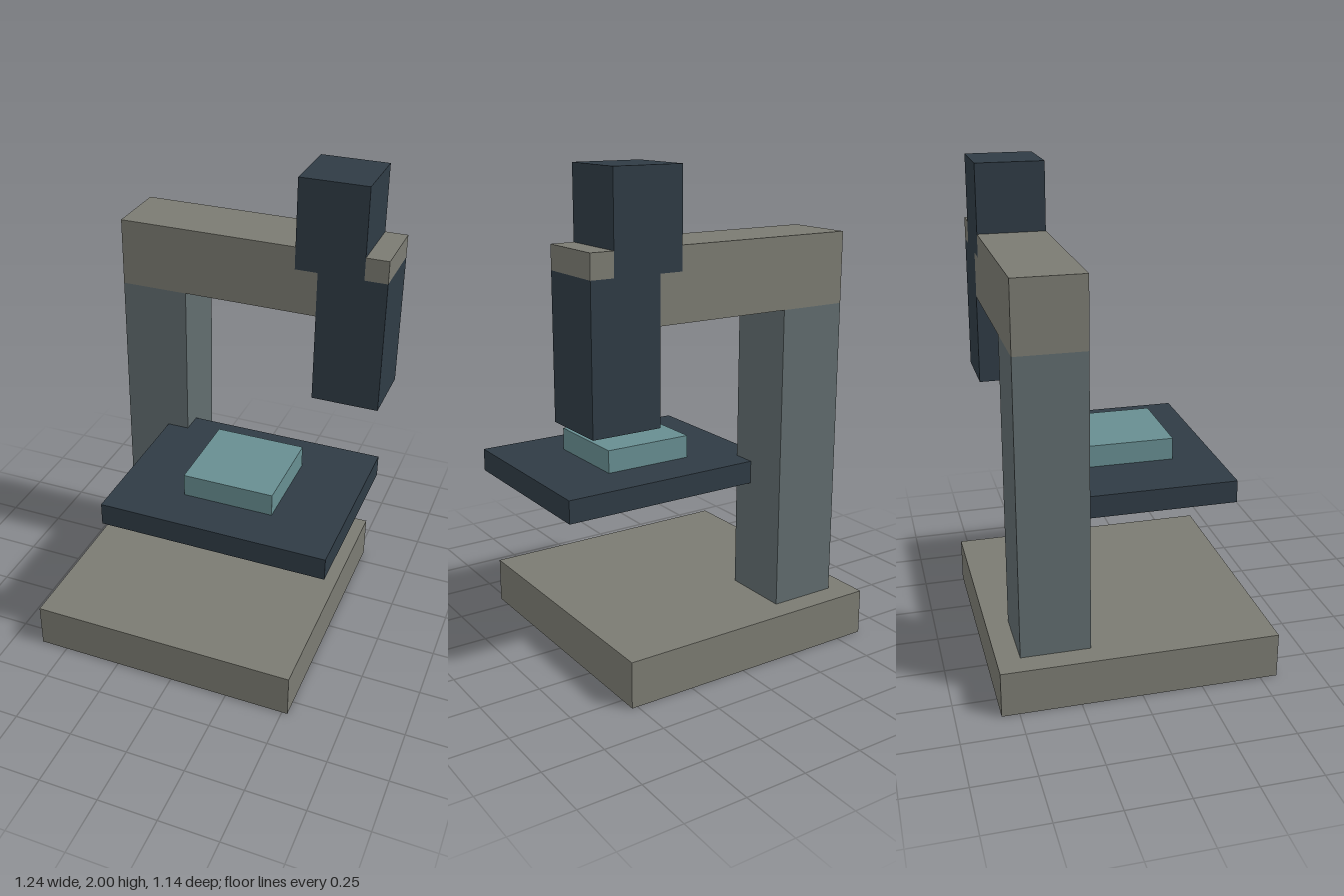
import * as THREE from 'three';

// Everything sits on a cubic grid, 21 cells tall
const U = 2 / 21;

const paint = (color) => new THREE.MeshStandardMaterial({ color, flatShading: true });

export function createModel() {
  const model = new THREE.Group();
  const stone = paint(0x7b7b72);
  const steel = paint(0x616c6e);
  const dark = paint(0x2f3b45);
  const teal = paint(0x678e91);

  // Box given by its lower and upper corners in grid cells
  const block = (name, material, [x0, y0, z0], [x1, y1, z1]) => {
    const geometry = new THREE.BoxGeometry((x1 - x0) * U, (y1 - y0) * U, (z1 - z0) * U);
    const mesh = new THREE.Mesh(geometry, material);
    mesh.position.set((x0 + x1) * U / 2, (y0 + y1) * U / 2, (z0 + z1) * U / 2);
    mesh.name = name;
    model.add(mesh);
  };

  // Base and upright column
  block('base', stone, [-6.5, 0, -6], [5.5, 2, 6]);
  block('column', steel, [-5.5, 2, -5], [-2.5, 15, -2]);

  // Overhead arm, notched where the tube passes through it
  const profile = [[-5.5, 15], [3.5, 15], [3.5, 17], [2.5, 17], [2.5, 18], [-5.5, 18]];
  const shape = new THREE.Shape(profile.map(([x, y]) => new THREE.Vector2(x * U, y * U)));
  const arm = new THREE.Mesh(
    new THREE.ExtrudeGeometry(shape, { depth: 3 * U, bevelEnabled: false }), stone);
  arm.position.z = -5 * U;
  arm.name = 'arm';
  model.add(arm);
  block('armTip', stone, [5.5, 17, -5], [6.5, 18, -2]);

  // Viewing tube: eyepiece stepped sideways above the objective
  block('objective', dark, [3.5, 11, -5], [6.5, 17, -2]);
  block('eyepiece', dark, [2.5, 17, -5], [5.5, 21, -2]);

  // Stage with the specimen on top
  block('stage', dark, [-3.5, 7, -3], [6.5, 8, 5]);
  block('specimen', teal, [-0.5, 8, -1], [3.5, 9, 3]);

  return model;
}
